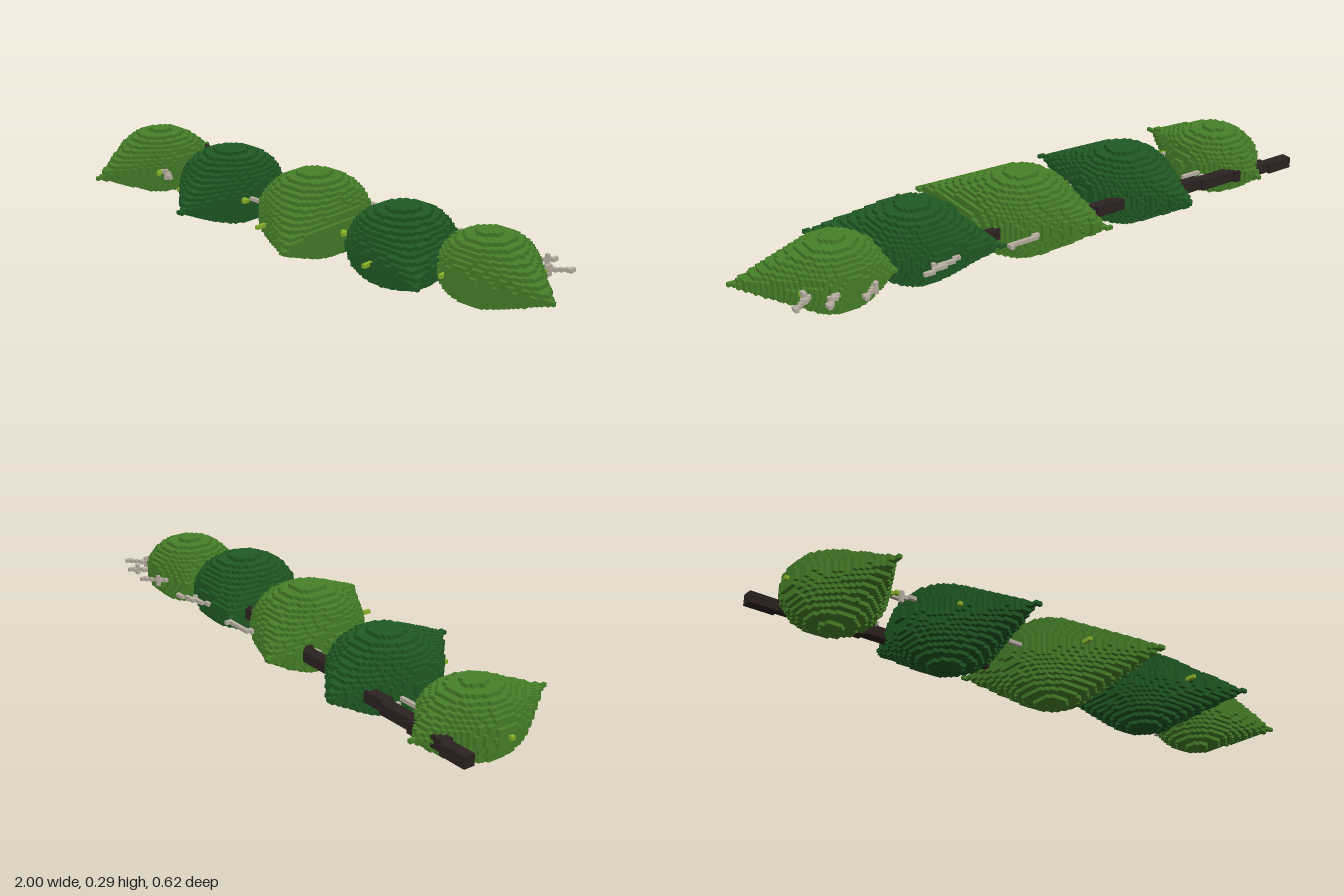
import * as THREE from 'three';

const V = 2 / 161;              // cube size
const MID = 11.5 * V;           // height of the centre plane
const LIMIT = [80, 11, 25];     // cells on either side of the centre

const mat = (name, color) => {
  const m = new THREE.MeshStandardMaterial({ color });
  m.name = name;
  return m;
};

// Direction and the four corners of each cube face, counter-clockwise from outside
const FACES = [0, 1, 2].flatMap(a => [1, -1].map(s => {
  const b = (a + 1) % 3, c = (a + 2) % 3;
  const dir = [0, 0, 0];
  dir[a] = s;
  const corners = [[-1, -1], [1, -1], [1, 1], [-1, 1]].map(([u, w]) => {
    const p = [0, 0, 0];
    p[a] = s; p[b] = u * s; p[c] = w;
    return p;
  });
  return { dir, corners };
}));

export function createModel() {
  const lightGreen = mat('lightLeafGreen', 0x478029);
  const darkGreen = mat('darkLeafGreen', 0x1f5a24);
  const bark = mat('darkBark', 0x2d2121);
  const grey = mat('paleTwigGrey', 0xb8b0a2);
  const lime = mat('limeBud', 0x8ab52a);

  const taken = new Set();
  const parts = [];
  const key = (i, j, k) => ((i + 100) * 100 + j + 50) * 100 + k + 50;

  function part(name, material) {
    const p = { name, material, cells: [] };
    parts.push(p);
    return p;
  }
  function put(p, i, j, k) {
    if (Math.abs(i) > LIMIT[0] || Math.abs(j) > LIMIT[1] || k < -LIMIT[2] || k >= LIMIT[2]) return;
    const id = key(i, j, k);
    if (taken.has(id)) return;
    taken.add(id);
    p.cells.push([i, j, k]);
  }
  // Fill an ellipsoid centred on the middle plane
  function ellipsoid(p, x, z, rx, ry, rz) {
    const nj = Math.ceil(ry / V);
    for (let i = Math.floor((x - rx) / V); i <= Math.ceil((x + rx) / V); i++)
      for (let k = Math.floor((z - rz) / V) - 1; k <= Math.ceil((z + rz) / V); k++)
        for (let j = -nj; j <= nj; j++) {
          const dx = (i * V - x) / rx, dy = j * V / ry, dz = ((k + 0.5) * V - z) / rz;
          if (dx * dx + dy * dy + dz * dz <= 1) put(p, i, j, k);
        }
  }
  // One-cube-thick line through [x, z] points
  function line(p, points, j = 0) {
    for (let n = 0; n + 1 < points.length; n++) {
      const [x0, z0] = points[n], [x1, z1] = points[n + 1];
      const steps = Math.max(1, Math.ceil(Math.hypot(x1 - x0, z1 - z0) / V));
      for (let s = 0; s <= steps; s++) {
        const t = s / steps;
        put(p, Math.round((x0 + (x1 - x0) * t) / V), j, Math.floor((z0 + (z1 - z0) * t) / V));
      }
    }
  }

  // Leaves: a rounded body tapering to a front tip and a back base point
  const leaves = [
    { m: lightGreen, c: [-0.81, -0.045], r: [0.154, 0.115, 0.165], tip: [-0.785, 0.26], base: [-0.82, -0.275] },
    { m: darkGreen, c: [-0.41, -0.035], r: [0.176, 0.131, 0.178], tip: [-0.305, 0.29], base: [-0.49, -0.315] },
    { m: lightGreen, c: [0.005, -0.025], r: [0.184, 0.143, 0.183], tip: [0.2, 0.31], base: [-0.155, -0.29] },
    { m: darkGreen, c: [0.4, -0.01], r: [0.17, 0.131, 0.175], tip: [0.655, 0.23], base: [0.195, -0.205] },
    { m: lightGreen, c: [0.7, -0.05], r: [0.153, 0.115, 0.153], tip: [1, 0.045], base: [0.545, -0.155] },
  ];
  leaves.forEach(({ m, c, r, tip, base }, n) => {
    const leaf = part('leaf' + (n + 1), m);
    for (const end of [tip, base])
      for (let s = 0; s <= 30; s++) {
        const t = s / 30;
        const [rx, ry, rz] = r.map(q => Math.max(q * (1 - t), V * 0.75));
        ellipsoid(leaf, c[0] + (end[0] - c[0]) * t, c[1] + (end[1] - c[1]) * t, rx, ry, rz);
      }
  });

  // Branch: a square bar running behind the leaves
  const branch = part('branch', bark);
  for (let i = -80; i <= 20; i++) {
    const k = Math.round((-0.152 + 0.087 * i * V) / V);
    const back = i < -15 ? -1 : 0;
    for (let dk = back; dk <= 1; dk++)
      for (let j = -1; j <= 1; j++) put(branch, i, j, k + dk);
  }

  // Pale twigs between and behind the leaves
  const twigs = part('twigs', grey);
  [
    [[-0.72, -0.2], [-0.69, -0.2], [-0.64, -0.175]],
    [[-0.67, -0.135], [-0.61, -0.13]],
    [[-0.68, 0.05], [-0.65, 0.06], [-0.605, 0.085]],
    [[-0.25, -0.14], [-0.19, -0.135]],
    [[-0.25, 0.035], [-0.18, 0.035]],
    [[0.06, -0.2], [0.08, -0.215], [0.17, -0.22], [0.18, -0.23]],
    [[0.32, -0.18], [0.4, -0.21], [0.49, -0.235]],
    [[0.4, -0.21], [0.44, -0.195]],
    [[0.62, -0.18], [0.65, -0.215], [0.7, -0.255]],
    [[0.76, -0.19], [0.8, -0.225], [0.81, -0.24]],
    [[0.79, -0.13], [0.84, -0.16], [0.9, -0.2]],
  ].forEach(points => line(twigs, points));
  // Short upright prongs on the twigs
  for (const [x, z] of [[0.84, -0.16], [0.84, -0.145], [0.8, -0.215], [0.65, -0.215], [-0.64, 0.065], [-0.65, -0.18]])
    for (const j of [-1, 1]) line(twigs, [[x, z], [x, z]], j);

  // Small buds at the leaf edges
  const buds = part('buds', lime);
  [
    [[-0.955, -0.04], [-0.975, -0.04]],
    [[-0.69, 0.05], [-0.675, 0.075]],
    [[-0.48, 0.12], [-0.49, 0.14]],
    [[-0.25, 0.04], [-0.235, 0.07]],
    [[-0.02, 0.15], [-0.02, 0.2]],
    [[0.2, 0.04], [0.215, 0.05]],
    [[0.43, 0.15], [0.43, 0.2]],
    [[0.65, 0.09], [0.65, 0.11]],
    [[0.81, -0.13], [0.84, -0.13]],
  ].forEach(points => line(buds, points));

  // Turn each part's exposed cube faces into a mesh
  const group = new THREE.Group();
  group.name = 'leafyBranch';
  for (const { name, material, cells } of parts) {
    const pos = [], index = [];
    for (const [i, j, k] of cells)
      for (const { dir, corners } of FACES) {
        if (taken.has(key(i + dir[0], j + dir[1], k + dir[2]))) continue;
        const n = pos.length / 3;
        for (const c of corners)
          pos.push((i + c[0] / 2) * V, MID + (j + c[1] / 2) * V, (k + 0.5 + c[2] / 2) * V);
        index.push(n, n + 1, n + 2, n, n + 2, n + 3);
      }
    const geometry = new THREE.BufferGeometry();
    geometry.setAttribute('position', new THREE.Float32BufferAttribute(pos, 3));
    geometry.setIndex(index);
    geometry.computeVertexNormals();
    const mesh = new THREE.Mesh(geometry, material);
    mesh.name = name;
    group.add(mesh);
  }
  return group;
}
